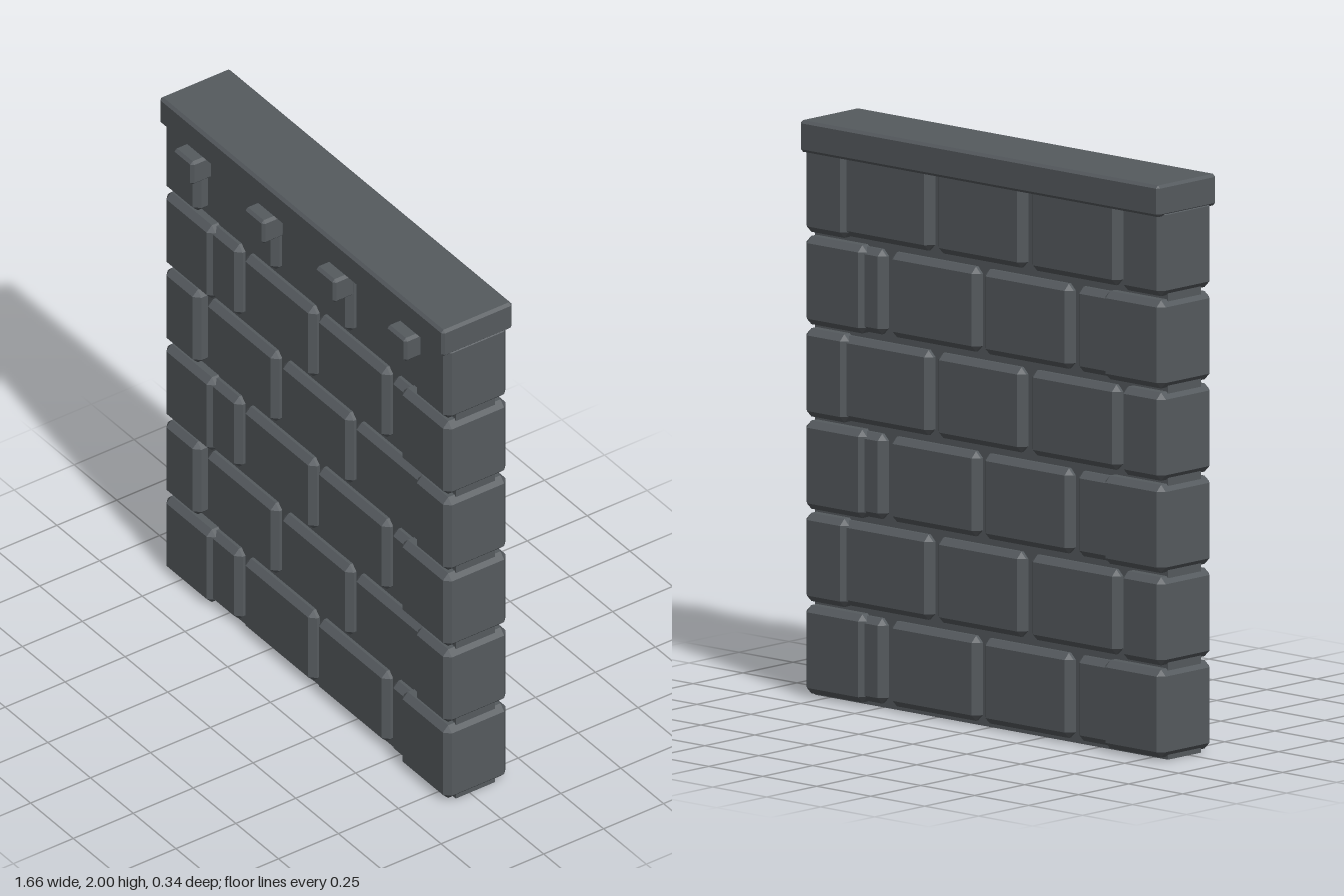
import * as THREE from 'three';
import { ConvexGeometry } from 'three/addons/geometries/ConvexGeometry.js';

const MID_Z = -0.024;

// Box between two corners with every edge cut at 45 degrees by c
function chamferBox(x0, x1, y0, y1, z0, z1, c) {
  const half = [(x1 - x0) / 2, (y1 - y0) / 2, (z1 - z0) / 2];
  const points = [];
  for (const sx of [-1, 1]) for (const sy of [-1, 1]) for (const sz of [-1, 1]) {
    for (let face = 0; face < 3; face++) {
      const p = [sx, sy, sz].map((s, i) => s * (half[i] - (i === face ? 0 : c)));
      points.push(new THREE.Vector3(...p));
    }
  }
  return new ConvexGeometry(points).translate((x0 + x1) / 2, (y0 + y1) / 2, (z0 + z1) / 2);
}

export function createModel() {
  const wall = new THREE.Group();
  wall.name = 'stoneWall';
  const stone = new THREE.MeshStandardMaterial({ color: 0x555a5e });
  stone.name = 'dark grey stone';

  const add = (parent, name, geometry) => {
    const mesh = new THREE.Mesh(geometry, stone);
    mesh.name = name;
    parent.add(mesh);
  };

  // Mortar core, seen in the joints
  add(wall, 'mortarCore', new THREE.BoxGeometry(1.634, 1.92, 0.164).translate(0, 0.96, MID_Z));

  // Six courses of blocks in running bond, reaching right through the wall
  const evenRow = [[-0.815, -0.415], [-0.39, 0.02], [0.04, 0.45], [0.475, 0.815]];
  const oddRow = [[-0.815, -0.64], [-0.61, -0.2], [-0.17, 0.235], [0.26, 0.67]];
  const pitch = 0.32;
  for (let row = 0; row < 6; row++) {
    const course = new THREE.Group();
    course.name = 'course' + (row + 1);
    wall.add(course);
    const y = row * pitch + 0.01;
    const even = row % 2 === 0;
    for (const [x0, x1] of even ? evenRow : oddRow) {
      add(course, 'fieldBlock', chamferBox(x0, x1, y + 0.005, y + 0.3, MID_Z - 0.115, MID_Z + 0.115, 0.022));
    }
    // Larger corner stones, alternating long and short
    const inner = even ? 0.552 : 0.635;
    for (const [x0, x1] of [[-0.832, -inner], [inner, 0.832]]) {
      add(course, 'cornerStone', chamferBox(x0, x1, y, y + 0.306, MID_Z - 0.131, MID_Z + 0.131, 0.022));
    }
  }

  // Coping slab
  add(wall, 'coping', chamferBox(-0.832, 0.832, 1.89, 2, MID_Z - 0.147, MID_Z + 0.147, 0.01));

  // Row of small brackets under the front edge of the coping
  for (let i = 0; i < 4; i++) {
    const x = -0.626 + i * 0.416;
    add(wall, 'bracket', chamferBox(x - 0.056, x + 0.056, 1.798, 1.894, 0.08, 0.171, 0.01));
  }
  return wall;
}
